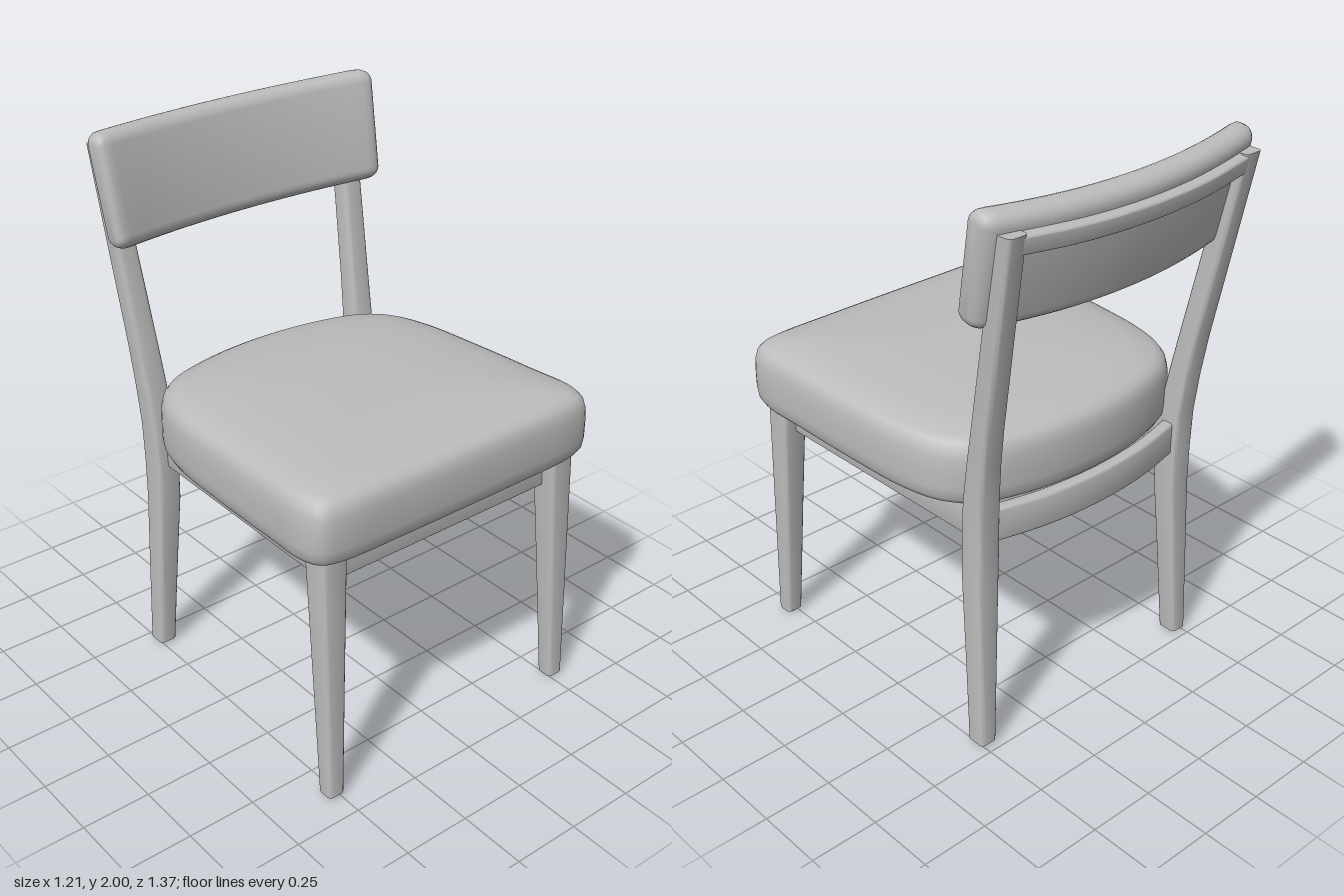
import * as THREE from 'three';
import { toCreasedNormals } from 'three/addons/utils/BufferGeometryUtils.js';

// Skin a list of rings (arrays of Vector3, counterclockwise about their direction), capped at both ends.
function loft(rings, crease = 0.75) {
  const n = rings[0].length;
  const collapse = (ring) => {
    const c = ring.reduce((s, p) => s.add(p), new THREE.Vector3()).divideScalar(n);
    return ring.map(() => c);
  };
  const all = [collapse(rings[0]), ...rings, collapse(rings[rings.length - 1])];
  const index = [];
  for (let i = 0; i < all.length - 1; i++) {
    for (let j = 0; j < n; j++) {
      const a = i * n + j, b = i * n + (j + 1) % n;
      index.push(a, b, a + n, b, b + n, a + n);
    }
  }
  const geo = new THREE.BufferGeometry().setFromPoints(all.flat());
  geo.setIndex(index);
  return toCreasedNormals(geo, crease);
}

// Counterclockwise rounded rectangle as [a, b] pairs.
function roundedRect(halfA, halfB, r, steps = 3) {
  const pts = [];
  [[1, 1], [-1, 1], [-1, -1], [1, -1]].forEach(([sa, sb], k) => {
    for (let i = 0; i <= steps; i++) {
      const t = (k + i / steps) * Math.PI / 2;
      pts.push([sa * (halfA - r) + r * Math.cos(t), sb * (halfB - r) + r * Math.sin(t)]);
    }
  });
  return pts;
}

// Upright leg from stations [y, xInner, xOuter, zBack, zFront].
function legGeometry(stations) {
  return loft(stations.map(([y, x0, x1, z0, z1]) =>
    roundedRect((z1 - z0) / 2, (x1 - x0) / 2, 0.015).map(([a, b]) =>
      new THREE.Vector3((x0 + x1) / 2 + b, y, (z0 + z1) / 2 + a))));
}

// Rail of constant section following a path of [x, y, z] points.
function railGeometry(path, thickness, height, segments = 1) {
  const curve = new THREE.CatmullRomCurve3(path.map((p) => new THREE.Vector3(...p)));
  const up = new THREE.Vector3(0, 1, 0);
  const rings = [];
  for (let i = 0; i <= segments; i++) {
    const c = curve.getPoint(i / segments);
    const side = up.clone().cross(curve.getTangent(i / segments)).normalize();
    rings.push(roundedRect(thickness / 2, height / 2, 0.008).map(([a, b]) =>
      c.clone().addScaledVector(side, a).addScaledVector(up, b)));
  }
  return loft(rings);
}

// Upholstered seat: rounded plan outline, scaled through a domed profile.
function seatGeometry() {
  const half = [[0.25, 0.682], [0.5, 0.675], [0.575, 0.65], [0.603, 0.58], [0.6, 0.4], [0.589, 0.1],
    [0.57, -0.14], [0.525, -0.29], [0.44, -0.38], [0.25, -0.445]];
  const plan = [[0, 0.683], ...half, [0, -0.47], ...half.map(([x, z]) => [-x, z]).reverse()];
  const outline = new THREE.CatmullRomCurve3(
    plan.map(([x, z]) => new THREE.Vector3(x, 0, z)), true, 'centripetal').getPoints(96).slice(0, -1);
  const profile = [[0.5, 0.92], [0.95, 0.92], [0.977, 0.927], [0.993, 0.945], [1, 0.98], [1, 1.04],
    [0.997, 1.09], [0.985, 1.122], [0.962, 1.142], [0.92, 1.155], [0.8, 1.169], [0.6, 1.181],
    [0.4, 1.187], [0.2, 1.19], [0.02, 1.19]];
  return loft(profile.map(([s, y]) => outline.map((p) => {
    const z = 0.1 + (p.z - 0.1) * s;
    return new THREE.Vector3(p.x * s, y + 0.03 * (z - 0.1), z);
  })), 1.2);
}

const bow = (x) => -0.075 * (1 - (x / 0.57) ** 2);

// Backrest pad: rounded sections along x, bowed backward and slightly wider at the top.
function backPadGeometry() {
  const end = [[0.572, 0.035], [0.568, 0.02], [0.558, 0.009], [0.543, 0.002], [0.52, 0]];
  const stations = end.map(([x, inset]) => [-x, inset]);
  for (let i = -9; i <= 9; i++) stations.push([i * 0.052, 0]);
  stations.push(...end.slice().reverse());
  return loft(stations.map(([x, inset]) =>
    roundedRect(0.052 - inset, 0.198 - inset, Math.max(0.045 - inset, 0.008), 5).map(([a, b]) =>
      new THREE.Vector3(x * (1 + 0.08 * b), b, bow(x) - a))), 1.2);
}

export function createModel() {
  const chair = new THREE.Group();
  chair.name = 'diningChair';
  const grey = new THREE.MeshStandardMaterial({ color: 0xbcbcbc });
  grey.name = 'plain grey';
  const add = (name, geometry, parent = chair) => {
    const mesh = new THREE.Mesh(geometry, grey);
    mesh.name = name;
    parent.add(mesh);
    return mesh;
  };

  add('seatCushion', seatGeometry());

  // Tilted backrest: pad and the curved rail behind it
  const backrest = new THREE.Group();
  backrest.name = 'backrest';
  backrest.position.set(0, 1.81, -0.497);
  backrest.rotation.x = -0.2;
  chair.add(backrest);
  add('backPad', backPadGeometry(), backrest);
  const topRail = [-0.5, -0.25, 0, 0.25, 0.5].map((x) => [x, 0.115, -0.07 + bow(x)]);
  add('topRail', railGeometry(topRail, 0.04, 0.065, 20), backrest);

  // Legs, mirrored left and right, with small foot glides
  const frontLeg = [[0.012, 0.485, 0.55, 0.6, 0.663], [0.5, 0.467, 0.549, 0.562, 0.647], [0.95, 0.45, 0.547, 0.525, 0.633]];
  const rearLeg = [[0.012, 0.447, 0.515, -0.475, -0.4], [0.35, 0.43, 0.51, -0.465, -0.38],
    [0.65, 0.415, 0.505, -0.456, -0.36], [0.8, 0.413, 0.504, -0.458, -0.36], [0.95, 0.416, 0.506, -0.463, -0.37],
    [1.1, 0.424, 0.511, -0.48, -0.395], [1.25, 0.432, 0.516, -0.504, -0.424],
    [1.6, 0.452, 0.53, -0.571, -0.493], [1.94, 0.47, 0.543, -0.636, -0.565]];
  const mirrorLeg = (stations, s) => stations.map(([y, a, b, z0, z1]) => (s > 0 ? [y, a, b, z0, z1] : [y, -b, -a, z0, z1]));
  for (const [s, side] of [[1, 'Left'], [-1, 'Right']]) {
    add('frontLeg' + side, legGeometry(mirrorLeg(frontLeg, s)));
    add('rearLeg' + side, legGeometry(mirrorLeg(rearLeg, s)));
    for (const [x, z, name] of [[0.517, 0.632, 'frontGlide'], [0.481, -0.438, 'rearGlide']]) {
      add(name + side, new THREE.CylinderGeometry(0.025, 0.02, 0.016, 12)).position.set(s * x, 0.008, z);
    }
    add('sideApron' + side, railGeometry([[s * 0.48, 0.88, 0.56], [s * 0.44, 0.85, -0.4]], 0.045, 0.12));
  }

  // Front apron and curved back apron under the seat
  add('frontApron', railGeometry([[-0.48, 0.875, 0.56], [0.48, 0.875, 0.56]], 0.045, 0.125));
  const backApron = [-0.46, -0.23, 0, 0.23, 0.46].map((x) => [x, 0.85, -0.405 - 0.07 * (1 - (x / 0.46) ** 2)]);
  add('backApron', railGeometry(backApron, 0.045, 0.12, 16));

  return chair;
}
